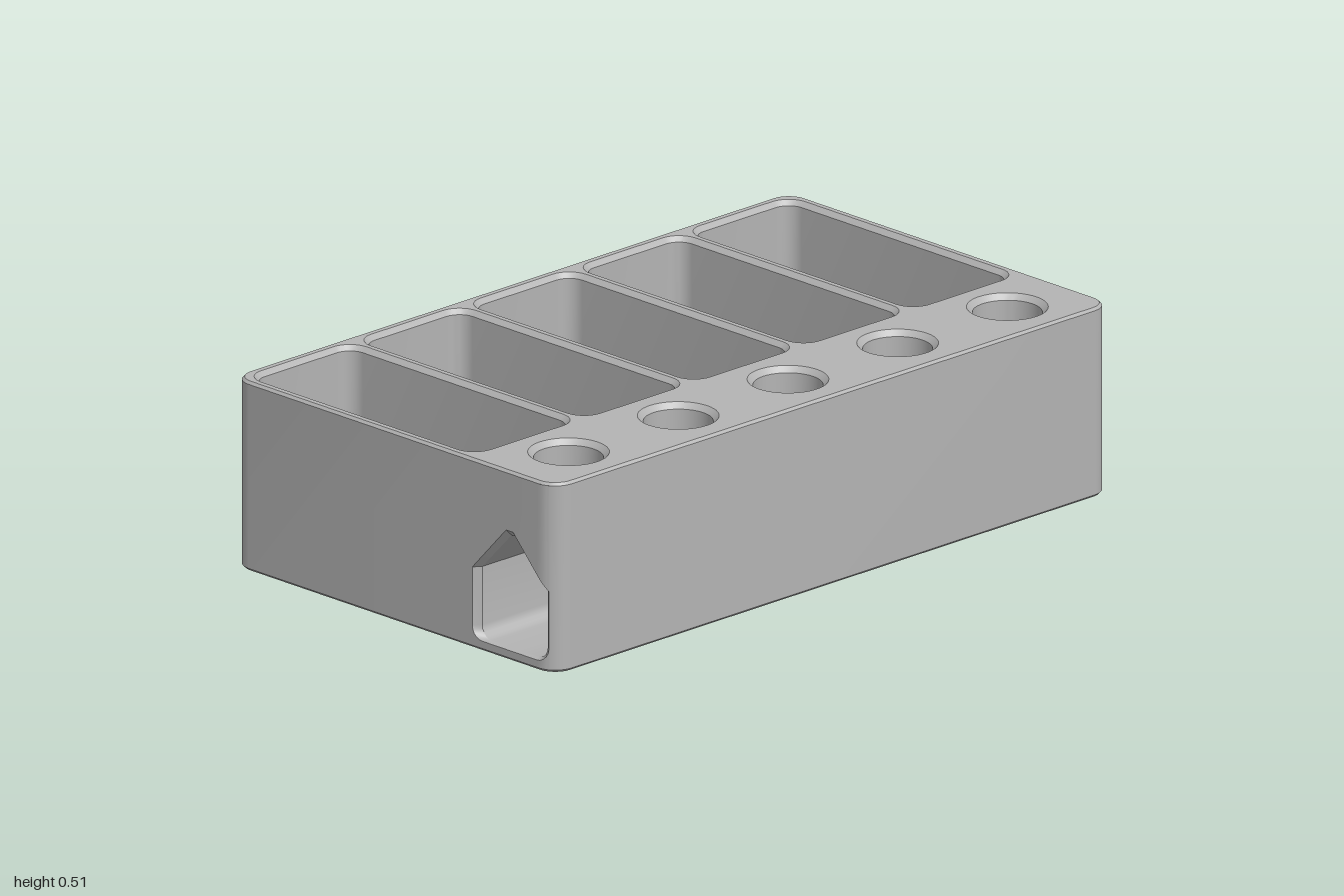
import * as THREE from 'three';
import { mergeGeometries, toCreasedNormals } from 'three/addons/utils/BufferGeometryUtils.js';

const HX = 0.59, HZ = 1, TOP = 0.515, R = 0.06, EDGE = 0.007;
const FLOOR = 0.027;
const ROWS = [-2, -1, 0, 1, 2].map(i => i * 0.394);
const POCKET = { x0: -0.568, x1: 0.272, hz: 0.19, r: 0.06, bevel: 0.013 };
const DRAIN = { x: -0.15, r: 0.12, rOuter: 0.139 };
const BORE = { r: 0.09, rOuter: 0.105 };
const TUN = { x: 0.424, half: 0.12, apex: 0.333, z: 0.98 };
const MOUTH = { half: 0.136, apex: 0.352 };
const SHOULDER = 0.22, RIDGE = 0.0125, FILLET = 0.035;

const V = (x, y, z) => new THREE.Vector3(x, y, z);

// Skin of quads between successive rows of points
function loft(rows, closed = true) {
  const pos = [];
  for (let k = 0; k + 1 < rows.length; k++) {
    const a = rows[k], b = rows[k + 1], n = a.length;
    for (let i = 0; i < (closed ? n : n - 1); i++) {
      const j = (i + 1) % n;
      for (const p of [a[i], a[j], b[j], a[i], b[j], b[i]]) pos.push(p.x, p.y, p.z);
    }
  }
  const g = new THREE.BufferGeometry();
  g.setAttribute('position', new THREE.Float32BufferAttribute(pos, 3));
  return g;
}

// Rounded rectangle outline as 2D points
function roundRect(x0, x1, z0, z1, r, steps = 8) {
  const pts = [];
  [[x1 - r, z1 - r], [x0 + r, z1 - r], [x0 + r, z0 + r], [x1 - r, z0 + r]].forEach(([cx, cz], q) => {
    for (let k = 0; k <= steps; k++) {
      const a = (q + k / steps) * Math.PI / 2;
      pts.push(new THREE.Vector2(cx + r * Math.cos(a), cz + r * Math.sin(a)));
    }
  });
  return pts;
}
function circle(cx, cz, r, n = 48) {
  return Array.from({ length: n }, (_, i) => {
    const a = i / n * Math.PI * 2;
    return new THREE.Vector2(cx + r * Math.cos(a), cz + r * Math.sin(a));
  });
}
const at = (pts, y) => pts.map(p => V(p.x, y, p.y));

// Horizontal face with holes (the layout is symmetric in z)
function plate(outline, holes, y, up) {
  const s = new THREE.Shape(outline);
  holes.forEach(h => s.holes.push(new THREE.Path(h)));
  // outlines are given in (x, z); flip so they line up after the turn
  const g = new THREE.ShapeGeometry(s);
  if (up) {
    g.scale(1, -1, 1);
    const ix = g.index.array;
    for (let i = 0; i < ix.length; i += 3) [ix[i], ix[i + 1]] = [ix[i + 1], ix[i]];
    g.rotateX(-Math.PI / 2);
  } else g.rotateX(Math.PI / 2);
  g.translate(0, y, 0);
  g.computeVertexNormals();
  return g;
}

// Depth of the body outline at x, with rounded corners
function outlineZ(x) {
  const d = Math.max(0, Math.abs(x) - (HX - R));
  return HZ - R + Math.sqrt(Math.max(0, R * R - d * d));
}

// House-shaped tunnel section
function roofY(dx, half, apex) {
  const d = Math.max(0, Math.abs(dx) - RIDGE);
  return apex - (apex - SHOULDER) * d / (half - RIDGE);
}
function section(half, apex) {
  const xs = [RIDGE];
  for (let k = 0; k <= 5; k++) xs.push(half - FILLET + FILLET * Math.sin(k * Math.PI / 10));
  const all = [...xs.map(x => -x).reverse(), ...xs];
  const low = all.map(dx => {
    const d = Math.max(0, Math.abs(dx) - (half - FILLET));
    return V(TUN.x + dx, FLOOR + FILLET - Math.sqrt(Math.max(0, FILLET * FILLET - d * d)), 0);
  });
  const high = all.map(dx => V(TUN.x + dx, roofY(dx, half, apex), 0));
  return { low, high, ring: [...low, ...high.slice().reverse()] };
}

export function createModel() {
  const model = new THREE.Group();
  const grey = new THREE.MeshStandardMaterial({ color: 0xb4b4b4, side: THREE.DoubleSide });
  grey.name = 'plain grey';
  const add = (name, geo, parent = model) => {
    const m = new THREE.Mesh(geo, grey);
    m.name = name;
    parent.add(m);
  };
  const smooth = parts => toCreasedNormals(parts.length > 1 ? mergeGeometries(parts) : parts[0], 0.5);

  // Outer walls, with the tunnel mouth left open at both ends
  const inner = section(TUN.half, TUN.apex), outer = section(MOUTH.half, MOUTH.apex);
  const y0 = EDGE, y1 = TOP - EDGE;
  const corner = Array.from({ length: 9 }, (_, k) => HX - R + R * Math.sin(k * Math.PI / 16));
  const mx0 = TUN.x - MOUTH.half, mx1 = TUN.x + MOUTH.half;
  const leftXs = [...corner.map(x => -x).reverse(), mx0];
  const rightXs = [mx1, ...corner.filter(x => x > mx1 + 0.001)];
  const walls = [], mouths = [];
  for (const s of [1, -1]) {
    const flat = (xs, y) => xs.map(x => V(x, y, s * outlineZ(x)));
    const wrap = pts => pts.map(p => V(p.x, p.y, s * outlineZ(p.x)));
    const mouthXs = outer.low.map(p => p.x);
    const band = (a, b) => walls.push(loft(s > 0 ? [a, b] : [b, a], false));
    band(flat(leftXs, y0), flat(leftXs, y1));
    band(flat(rightXs, y0), flat(rightXs, y1));
    band(flat(mouthXs, y0), wrap(outer.low));
    band(wrap(outer.high), flat(mouthXs, y1));
    // long side
    const side = y => [V(s * HX, y, s * (HZ - R)), V(s * HX, y, -s * (HZ - R))];
    walls.push(loft([side(y0), side(y1)], false));
    // bevelled mouth
    const rim = [wrap(outer.ring), inner.ring.map(p => V(p.x, p.y, s * TUN.z))];
    mouths.push(loft(s > 0 ? rim : rim.reverse()));
  }
  add('outerWalls', smooth(walls));
  mouths.forEach((g, i) => add(i ? 'backMouthBevel' : 'frontMouthBevel', smooth([g])));

  // Softened top and bottom edges
  const full = roundRect(-HX, HX, -HZ, HZ, R);
  const inset = roundRect(-HX + EDGE, HX - EDGE, -HZ + EDGE, HZ - EDGE, R - EDGE);
  add('topEdge', smooth([loft([at(inset, TOP), at(full, y1)])]));
  add('bottomEdge', smooth([loft([at(full, y0), at(inset, 0)])]));

  // Top and bottom faces
  const pocketLoop = (z, b) => roundRect(POCKET.x0 + b, POCKET.x1 - b, z - POCKET.hz + b, z + POCKET.hz - b, POCKET.r - b);
  add('topFace', plate(inset, ROWS.flatMap(z => [pocketLoop(z, 0), circle(TUN.x, z, BORE.rOuter)]), TOP, true));
  add('bottomFace', plate(inset, ROWS.map(z => circle(DRAIN.x, z, DRAIN.rOuter)), 0, false));

  // Five trays, each with a hole in its floor, and a round bore beside it
  for (const z of ROWS) {
    const bay = new THREE.Group();
    bay.name = 'bay';
    model.add(bay);
    const b = POCKET.bevel, wall = pocketLoop(z, b);
    add('trayWalls', smooth([loft([at(wall, FLOOR), at(wall, TOP - b), at(pocketLoop(z, 0), TOP)])]), bay);
    add('trayFloor', plate(wall, [circle(DRAIN.x, z, DRAIN.r)], FLOOR, true), bay);
    add('floorHole', smooth([loft([at(circle(DRAIN.x, z, DRAIN.rOuter), 0), at(circle(DRAIN.x, z, DRAIN.r), FLOOR)])]), bay);
    const bore = circle(TUN.x, z, BORE.r);
    const boreEnd = bore.map(p => V(p.x, roofY(p.x - TUN.x, TUN.half, TUN.apex), p.y));
    add('bore', smooth([loft([boreEnd, at(bore, TOP - 0.015), at(circle(TUN.x, z, BORE.rOuter), TOP)])]), bay);
  }

  // Tunnel floor and sides
  const ring = inner.ring, n = inner.low.length;
  const path = [ring[ring.length - 1], ...ring.slice(0, n + 1)];
  add('tunnelWalls', smooth([loft([TUN.z, -TUN.z].map(z => path.map(p => V(p.x, p.y, z))), false)]));

  // Sloped tunnel roof, cut away around each bore
  const a = Math.acos(-RIDGE / BORE.r);
  const slope = new THREE.Shape();
  slope.moveTo(-TUN.half, -TUN.z);
  slope.lineTo(-RIDGE, -TUN.z);
  ROWS.forEach(z => slope.absarc(0, z, BORE.r, 2 * Math.PI - a, a, true));
  slope.lineTo(-RIDGE, TUN.z);
  slope.lineTo(-TUN.half, TUN.z);
  for (const s of [1, -1]) {
    const g = new THREE.ShapeGeometry(slope, 24), p = g.attributes.position;
    for (let i = 0; i < p.count; i++) {
      const u = p.getX(i), v = p.getY(i);
      p.setXYZ(i, TUN.x + s * u, roofY(u, TUN.half, TUN.apex), s * v);
    }
    g.computeVertexNormals();
    add('tunnelRoof', g);
  }
  const e = Math.sqrt(BORE.r ** 2 - RIDGE ** 2);
  const ridge = [];
  for (let i = 0; i <= ROWS.length; i++) {
    const z0 = i ? ROWS[i - 1] + e : -TUN.z, z1 = i < ROWS.length ? ROWS[i] - e : TUN.z;
    ridge.push(loft([z0, z1].map(z => [-1, 1].map(k => V(TUN.x + k * RIDGE, TUN.apex, z))), false));
  }
  add('tunnelRidge', smooth(ridge));
  return model;
}
